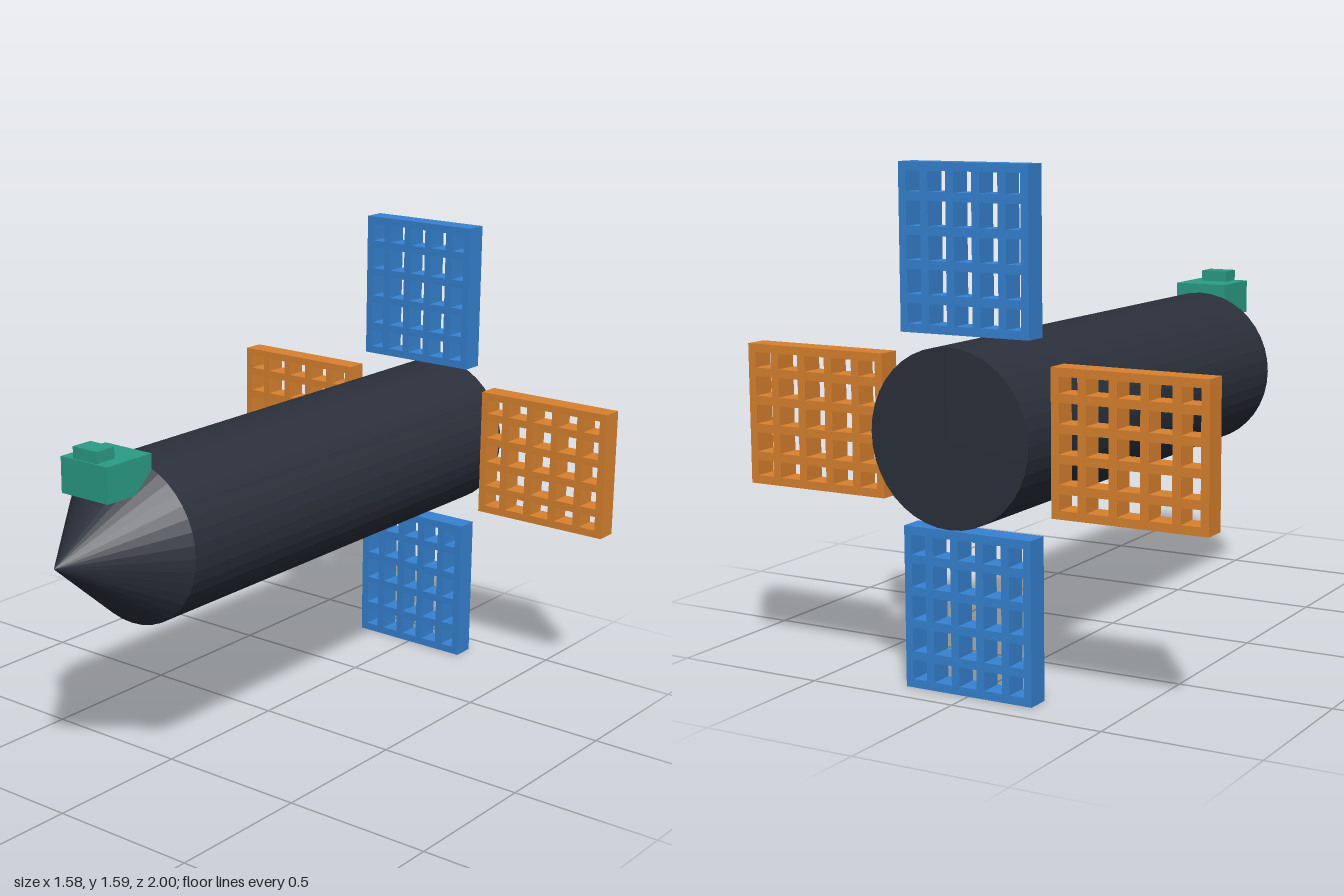
import * as THREE from 'three';

const CENTER_Y = 0.795;
const RADIUS = 0.268;
const SHOULDER_Z = 0.67;
const FIN_Z = -0.873;

const material = (color, flatShading = false) => new THREE.MeshStandardMaterial({ color, flatShading });

function addMesh(parent, name, geometry, mat, x = 0, y = 0, z = 0) {
  const mesh = new THREE.Mesh(geometry, mat);
  mesh.name = name;
  mesh.position.set(x, y, z);
  parent.add(mesh);
  return mesh;
}

// Lattice panel in the XY plane: a 5 x 5 grid of square openings.
function gridFinGeometry(width, height, depth, cells = 5, frame = 0.026, bar = 0.027) {
  const shape = new THREE.Shape();
  const rect = (path, x0, y0, x1, y1) =>
    path.moveTo(x0, y0).lineTo(x1, y0).lineTo(x1, y1).lineTo(x0, y1).closePath();
  rect(shape, -width / 2, -height / 2, width / 2, height / 2);

  // Start and end of opening i along a side of the given length
  const span = (i, length) => [
    -length / 2 + (i * length) / cells + (i === 0 ? frame : bar / 2),
    -length / 2 + ((i + 1) * length) / cells - (i === cells - 1 ? frame : bar / 2),
  ];
  for (let i = 0; i < cells; i++) {
    for (let j = 0; j < cells; j++) {
      const [x0, x1] = span(i, width);
      const [y0, y1] = span(j, height);
      const hole = new THREE.Path();
      rect(hole, x0, y0, x1, y1);
      shape.holes.push(hole);
    }
  }
  const geometry = new THREE.ExtrudeGeometry(shape, { depth, bevelEnabled: false });
  return geometry.translate(0, 0, -depth / 2);
}

export function createModel() {
  const model = new THREE.Group();
  model.name = 'finnedRocket';

  const hull = material(0x2b303b, true);
  const blue = material(0x3682d2);
  const orange = material(0xd9822f);
  const green = material(0x2a9d85);

  // Hull and pointed nose, both lying along z
  const bodyLength = SHOULDER_Z + 1;
  const noseLength = 1 - SHOULDER_Z;
  const body = new THREE.CylinderGeometry(RADIUS, RADIUS, bodyLength, 40).rotateX(Math.PI / 2);
  addMesh(model, 'body', body, hull, 0, CENTER_Y, SHOULDER_Z - bodyLength / 2);
  const nose = new THREE.ConeGeometry(RADIUS, noseLength, 40).rotateX(Math.PI / 2);
  addMesh(model, 'noseCone', nose, hull, 0, CENTER_Y, SHOULDER_Z + noseLength / 2);

  // Four grid fins around the tail
  const upright = gridFinGeometry(0.44, 0.5, 0.075);
  const sideways = gridFinGeometry(0.5, 0.44, 0.075);
  const reach = 0.54;
  addMesh(model, 'topFin', upright, blue, 0, CENTER_Y + reach, FIN_Z);
  addMesh(model, 'bottomFin', upright, blue, 0, CENTER_Y - 0.545, FIN_Z);
  addMesh(model, 'leftFin', sideways, orange, reach, CENTER_Y, FIN_Z);
  addMesh(model, 'rightFin', sideways, orange, -reach, CENTER_Y, FIN_Z);

  // Sensor housing sitting on the nose, with a small cap
  const sensor = new THREE.Group();
  sensor.name = 'sensor';
  addMesh(sensor, 'sensorHousing', new THREE.BoxGeometry(0.19, 0.115, 0.193), green, 0, 1.037, 0.767);
  addMesh(sensor, 'sensorCap', new THREE.BoxGeometry(0.098, 0.038, 0.075), green, 0, 1.113, 0.82);
  model.add(sensor);

  return model;
}
